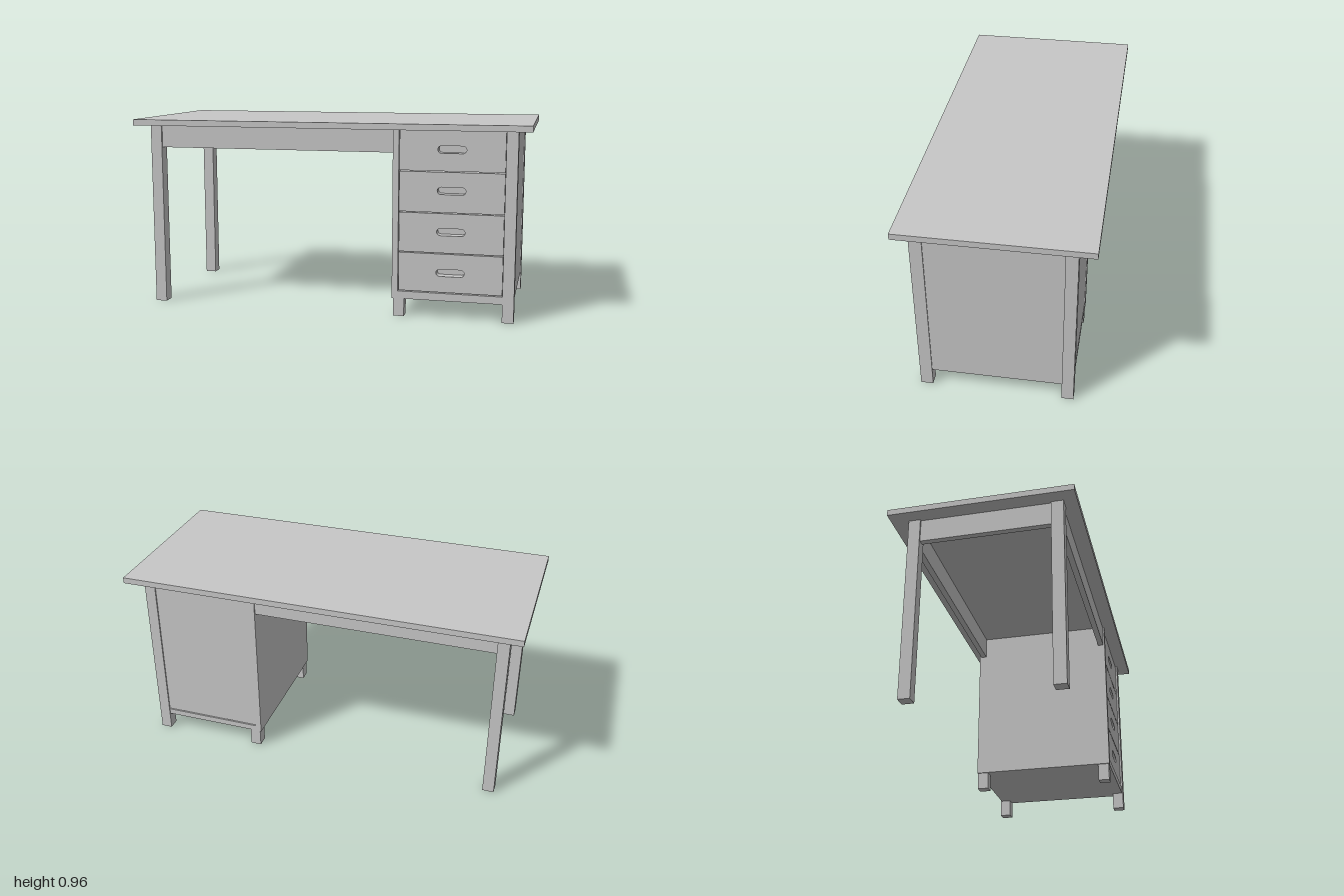
import * as THREE from 'three';

export function createModel() {
  const desk = new THREE.Group();
  desk.name = 'desk';
  const grey = new THREE.MeshStandardMaterial({ color: 0xc8c8c8 });
  grey.name = 'paintedGrey';

  // Box given by its extents on each axis
  function box(name, x0, x1, y0, y1, z0, z1) {
    const mesh = new THREE.Mesh(new THREE.BoxGeometry(x1 - x0, y1 - y0, z1 - z0), grey);
    mesh.position.set((x0 + x1) / 2, (y0 + y1) / 2, (z0 + z1) / 2);
    mesh.name = name;
    desk.add(mesh);
    return mesh;
  }

  box('tabletop', -1, 1, 0.93, 0.96, -0.45, 0.45);

  // Full-height legs at the four corners, short feet under the inner pedestal side
  for (const [end, z0, z1] of [['front', 0.327, 0.387], ['back', -0.365, -0.307]]) {
    box(end + 'RightLeg', -0.932, -0.874, 0, 0.93, z0, z1);
    box(end + 'LeftLeg', 0.878, 0.934, 0, 0.93, z0, z1);
  }
  box('frontFoot', 0.342, 0.396, 0, 0.09, 0.322, 0.38);
  box('backFoot', 0.342, 0.396, 0, 0.09, -0.36, -0.302);

  // Aprons under the top
  box('frontApron', -0.874, 0.335, 0.815, 0.93, 0.347, 0.377);
  box('backApron', -0.874, 0.335, 0.815, 0.93, -0.355, -0.325);
  box('sideApron', -0.922, -0.892, 0.815, 0.93, -0.307, 0.327);

  // Pedestal shell
  box('innerSidePanel', 0.335, 0.365, 0.09, 0.93, -0.363, 0.385);
  box('outerSidePanel', 0.9, 0.929, 0.09, 0.93, -0.307, 0.327);
  box('backPanel', 0.365, 0.878, 0.125, 0.93, -0.358, -0.33);
  box('bottomRail', 0.365, 0.878, 0.09, 0.128, 0.34, 0.382);
  box('bottomBoard', 0.365, 0.9, 0.09, 0.12, -0.36, 0.34);
  box('drawerCase', 0.365, 0.9, 0.12, 0.929, -0.33, 0.325);

  // Rounded slot pull, cut through each drawer front
  function slot(cx, cy, width, height) {
    const r = height / 2, d = width / 2 - r;
    const path = new THREE.Path();
    path.absarc(cx + d, cy, r, -Math.PI / 2, Math.PI / 2, false);
    path.absarc(cx - d, cy, r, Math.PI / 2, Math.PI * 1.5, false);
    path.closePath();
    return path;
  }

  // Four drawer fronts with narrow gaps between them
  const edges = [0.13, 0.327, 0.527, 0.729, 0.93];
  const pulls = [0.23, 0.433, 0.635, 0.835];
  pulls.forEach((pullY, i) => {
    const y0 = edges[i] + 0.002, y1 = edges[i + 1] - 0.003;
    const face = new THREE.Shape();
    face.moveTo(0.367, y0);
    face.lineTo(0.876, y0);
    face.lineTo(0.876, y1);
    face.lineTo(0.367, y1);
    face.closePath();
    face.holes.push(slot(0.622, pullY, 0.138, 0.036));
    const geometry = new THREE.ExtrudeGeometry(face, { depth: 0.05, bevelEnabled: false, curveSegments: 10 });
    const front = new THREE.Mesh(geometry, grey);
    front.position.z = 0.327;
    front.name = 'drawerFront' + (i + 1);
    desk.add(front);
  });

  return desk;
}
